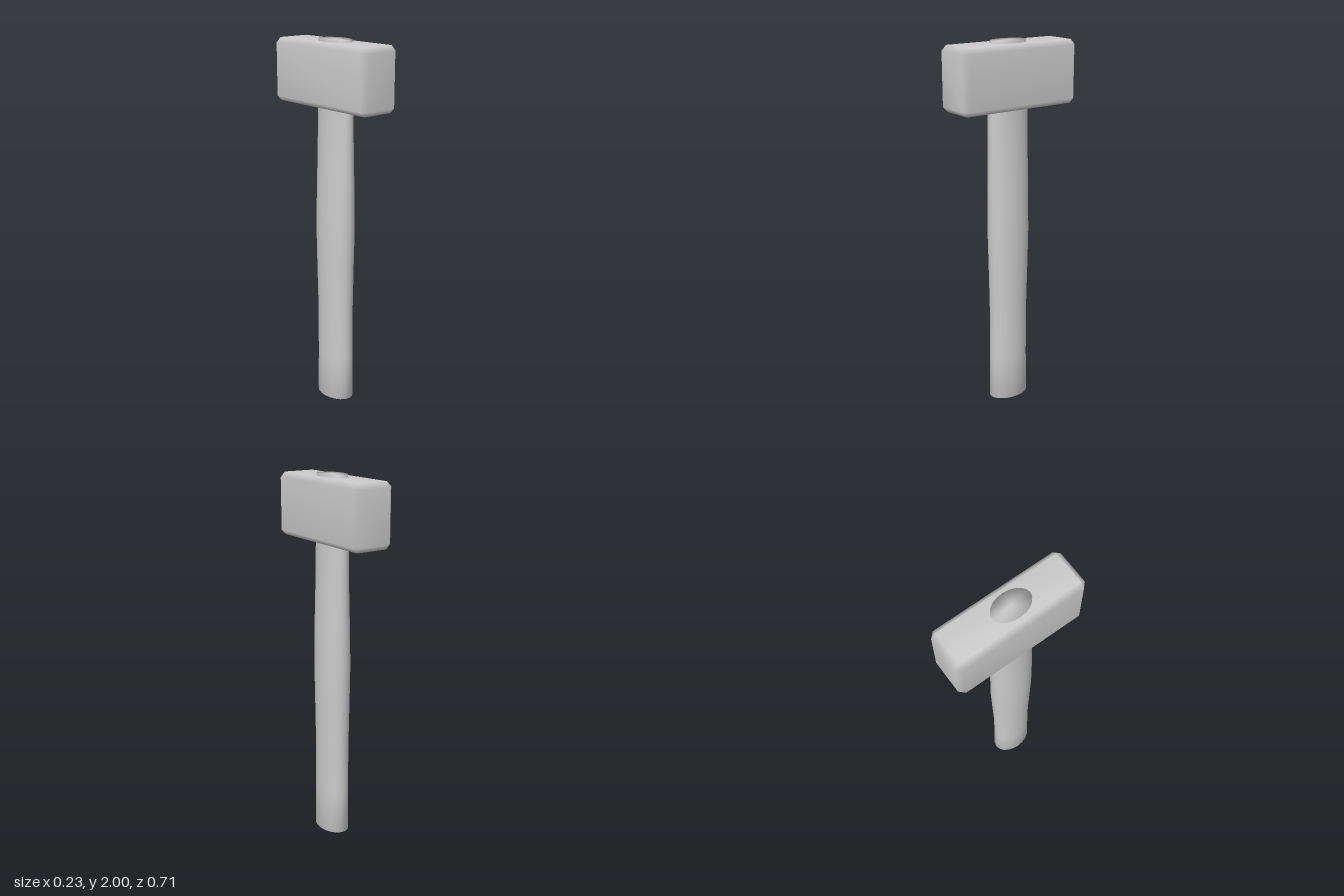
import * as THREE from 'three';
import { mergeVertices } from 'three/addons/utils/BufferGeometryUtils.js';
import { ConvexGeometry } from 'three/addons/geometries/ConvexGeometry.js';

const material = new THREE.MeshStandardMaterial({ color: 0xcccccc });

// Weld all corners so shading rolls softly over the edges
function smooth(geometry) {
  geometry.deleteAttribute('normal');
  geometry.deleteAttribute('uv');
  const welded = mergeVertices(geometry, 1e-4);
  welded.computeVertexNormals();
  return welded;
}

// Box with a single flat chamfer on every edge
function chamferedBox(w, h, d, c) {
  const points = [];
  for (const sx of [-1, 1]) for (const sy of [-1, 1]) for (const sz of [-1, 1]) {
    for (let axis = 0; axis < 3; axis++) {
      const half = [w / 2, h / 2, d / 2].map((v, i) => (i === axis ? v : v - c));
      points.push(new THREE.Vector3(sx * half[0], sy * half[1], sz * half[2]));
    }
  }
  return smooth(new ConvexGeometry(points));
}

// Oval handle: each section is [y, half width x, half depth z, centre z]
function ovalHandle(sections, sides) {
  const rows = sections.length - 1;
  const geometry = new THREE.CylinderGeometry(1, 1, rows, sides, rows);
  const pos = geometry.attributes.position;
  for (let i = 0; i < pos.count; i++) {
    const [y, rx, rz, cz] = sections[Math.round(pos.getY(i) + rows / 2)];
    pos.setXYZ(i, pos.getX(i) * rx, y, pos.getZ(i) * rz + cz);
  }
  return smooth(geometry);
}

export function createModel() {
  const model = new THREE.Group();
  model.name = 'hammer';

  const head = new THREE.Mesh(chamferedBox(0.23, 0.335, 0.71, 0.027), material);
  head.name = 'head';
  head.position.y = 1.82;
  model.add(head);

  // Swells at mid-grip, narrows towards the head, pokes out of the top
  const handle = new THREE.Mesh(ovalHandle([
    [0, 0.081, 0.117, 0.015],
    [0.25, 0.08, 0.114, 0.015],
    [0.5, 0.08, 0.112, 0.014],
    [0.75, 0.083, 0.118, 0.013],
    [0.98, 0.085, 0.124, 0.013],
    [1.2, 0.08, 0.123, 0.014],
    [1.42, 0.07, 0.121, 0.014],
    [1.66, 0.063, 0.12, 0.014],
    [2, 0.068, 0.104, 0.012],
  ], 20), material);
  handle.name = 'handle';
  model.add(handle);

  return model;
}
